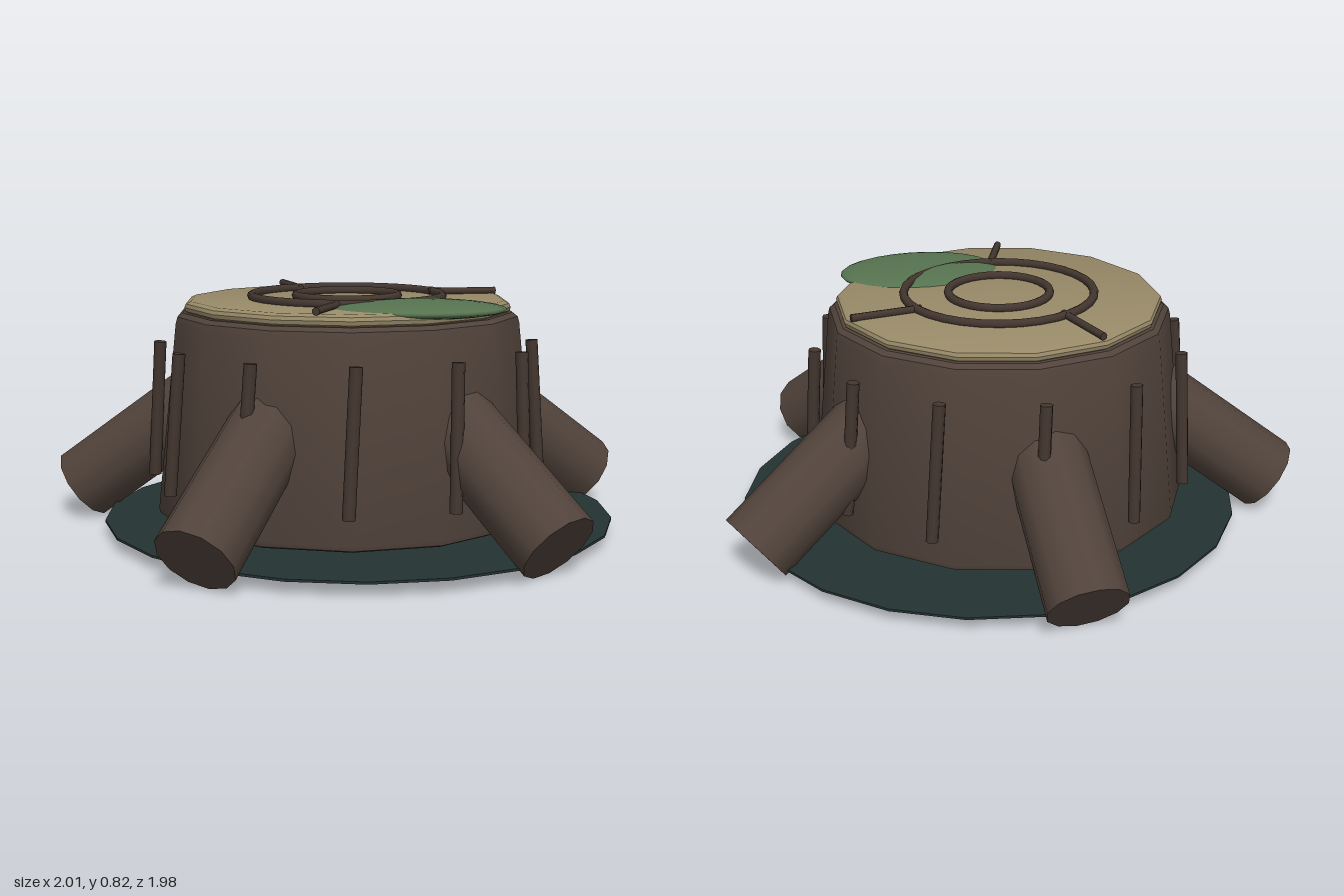
import * as THREE from 'three';
import { toCreasedNormals } from 'three/addons/utils/BufferGeometryUtils.js';

const CX = 0.02, CZ = 0.055; // axis of the stump

const mat = (name, color) => {
  const m = new THREE.MeshStandardMaterial({ color });
  m.name = name;
  return m;
};

// Point at an angle (degrees, from +x towards +z) and radius about the stump axis
const polar = (deg, r, y) => {
  const a = THREE.MathUtils.degToRad(deg);
  return new THREE.Vector3(CX + r * Math.cos(a), y, CZ + r * Math.sin(a));
};

export function createModel() {
  const bark = mat('bark', 0x51433b);
  const darkBark = mat('darkBark', 0x43362f);
  const wood = mat('cutWood', 0x988a68);
  const moss = mat('moss', 0x56734f);
  const earth = mat('earth', 0x243232);
  const group = new THREE.Group();
  group.name = 'treeStump';

  const add = (name, geometry, material, x = 0, y = 0, z = 0) => {
    const mesh = new THREE.Mesh(geometry, material);
    mesh.name = name;
    mesh.position.set(x, y, z);
    group.add(mesh);
    return mesh;
  };

  // Cylinder running from point a to point b
  const rod = (name, a, b, radius, sides, material) => {
    const d = b.clone().sub(a);
    const mesh = add(name, new THREE.CylinderGeometry(radius, radius, d.length(), sides), material);
    mesh.position.copy(a).add(b).multiplyScalar(0.5);
    mesh.quaternion.setFromUnitVectors(new THREE.Vector3(0, 1, 0), d.normalize());
    return mesh;
  };

  // Turned solid from [radius, height] pairs
  const turned = (profile, sides) => toCreasedNormals(
    new THREE.LatheGeometry(profile.map(([r, y]) => new THREE.Vector2(r, y)), sides), 0.6);

  // Ground disc
  add('groundDisc', new THREE.CylinderGeometry(0.88, 0.88, 0.008, 22), earth, 0.06, 0.044, 0.055);

  // Tapered trunk with softened rims
  add('trunk', turned([
    [0, 0.07], [0.64, 0.07], [0.655, 0.077], [0.66, 0.095],
    [0.592, 0.725], [0.586, 0.747], [0.568, 0.76], [0, 0.76],
  ], 14), bark, CX, 0, CZ);

  // Cut face
  add('cutFace', turned([
    [0, 0.755], [0.545, 0.755], [0.559, 0.765], [0.562, 0.778],
    [0.557, 0.79], [0.54, 0.798], [0, 0.798],
  ], 14), wood, CX, 0, CZ);

  // Growth rings
  for (const r of [0.175, 0.328]) {
    add('growthRing', new THREE.TorusGeometry(r, 0.015, 8, 32), darkBark, CX, 0.807, CZ)
      .rotation.x = Math.PI / 2;
  }

  // Cracks in the cut face
  for (const [x1, z1, x2, z2] of [
    [-0.21, -0.45, -0.14, -0.21], [0.31, -0.06, 0.55, -0.105], [-0.015, 0.37, -0.09, 0.585],
  ]) {
    rod('crack', new THREE.Vector3(x1, 0.807, z1), new THREE.Vector3(x2, 0.807, z2), 0.013, 8, darkBark);
  }

  // Moss patch
  add('mossPatch', new THREE.SphereGeometry(1, 24, 14), moss, 0.243, 0.793, 0.38)
    .scale.set(0.285, 0.029, 0.205);

  // Roots sloping outwards to the ground
  for (const deg of [-22, 50, 119, 192, 266]) {
    rod('root', polar(deg, 0.45, 0.484), polar(deg, 0.968, 0.107), 0.134, 12, bark);
  }

  // Bark ridges around the trunk
  for (let i = 0; i < 12; i++) {
    const deg = i * 30;
    rod('barkRidge', polar(deg + 1, 0.672, 0.18), polar(deg - 1, 0.642, 0.65), 0.021, 8, darkBark);
  }

  return group;
}
